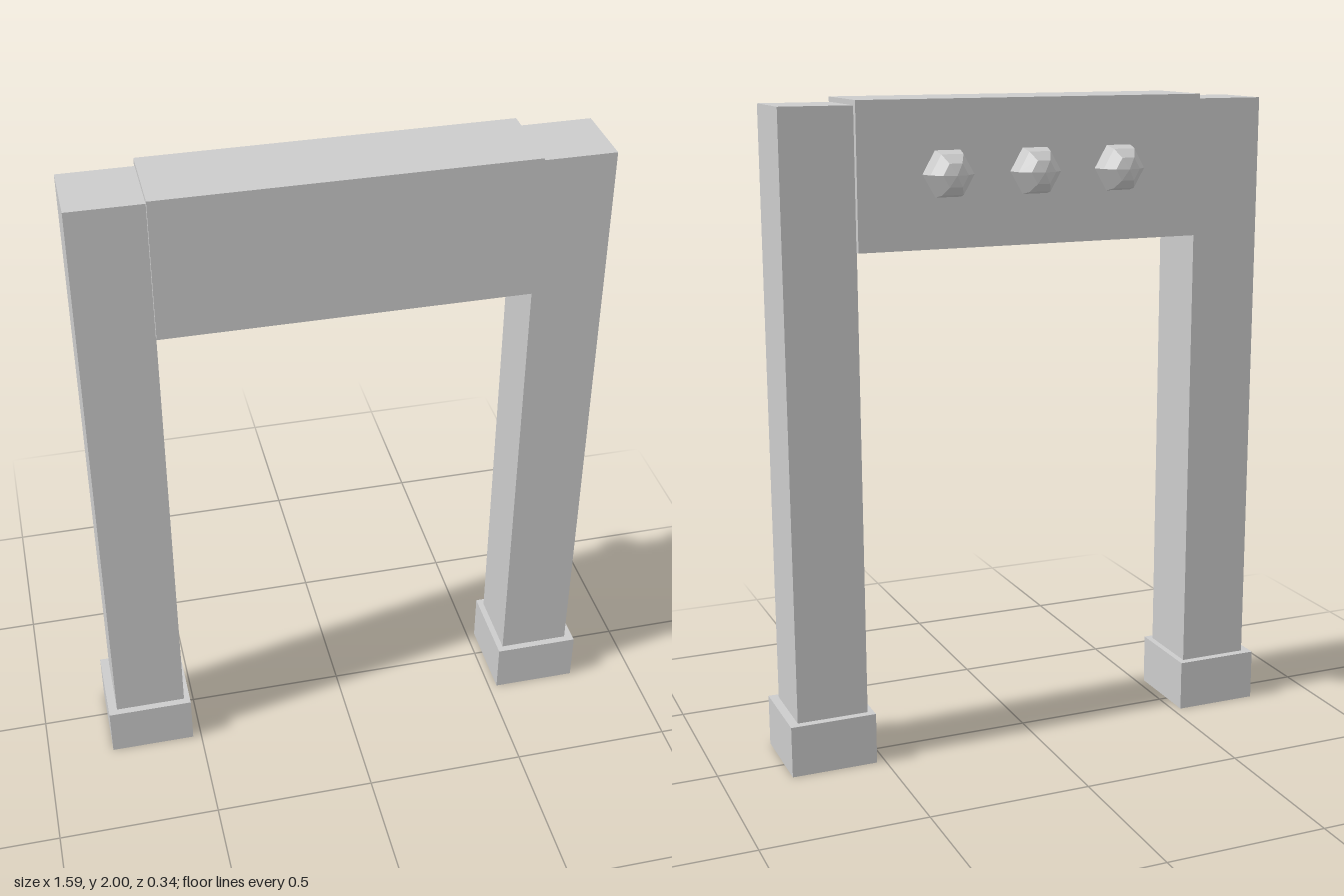
import * as THREE from 'three';

export function createModel() {
  const model = new THREE.Group();
  model.name = 'gate';
  const grey = new THREE.MeshStandardMaterial({ color: 0xcccccc, flatShading: true });

  const add = (name, geometry, x, y, z) => {
    const mesh = new THREE.Mesh(geometry, grey);
    mesh.name = name;
    mesh.position.set(x, y, z);
    model.add(mesh);
    return mesh;
  };

  // Posts standing on square footings
  const postBottom = 0.1, postTop = 1.985, footHeight = 0.16;
  const postHeight = postTop - postBottom;
  for (const [side, s] of [['left', 1], ['right', -1]]) {
    add(side + 'Footing', new THREE.BoxGeometry(0.266, footHeight, 0.266), s * 0.66, footHeight / 2, 0.036);
    add(side + 'Post', new THREE.BoxGeometry(0.22, postHeight, 0.22), s * 0.656, postBottom + postHeight / 2, 0.037);
  }

  // Deep beam between the posts
  add('beam', new THREE.BoxGeometry(1.094, 0.43, 0.256), 0, 1.785, 0.036);

  // Three faceted knobs on the back, poles pointing backwards
  const knob = new THREE.SphereGeometry(0.078, 6, 6).rotateX(-Math.PI / 2);
  [-0.273, 0, 0.273].forEach((x, i) => add('knob' + (i + 1), knob, x, 1.787, -0.092));

  return model;
}
